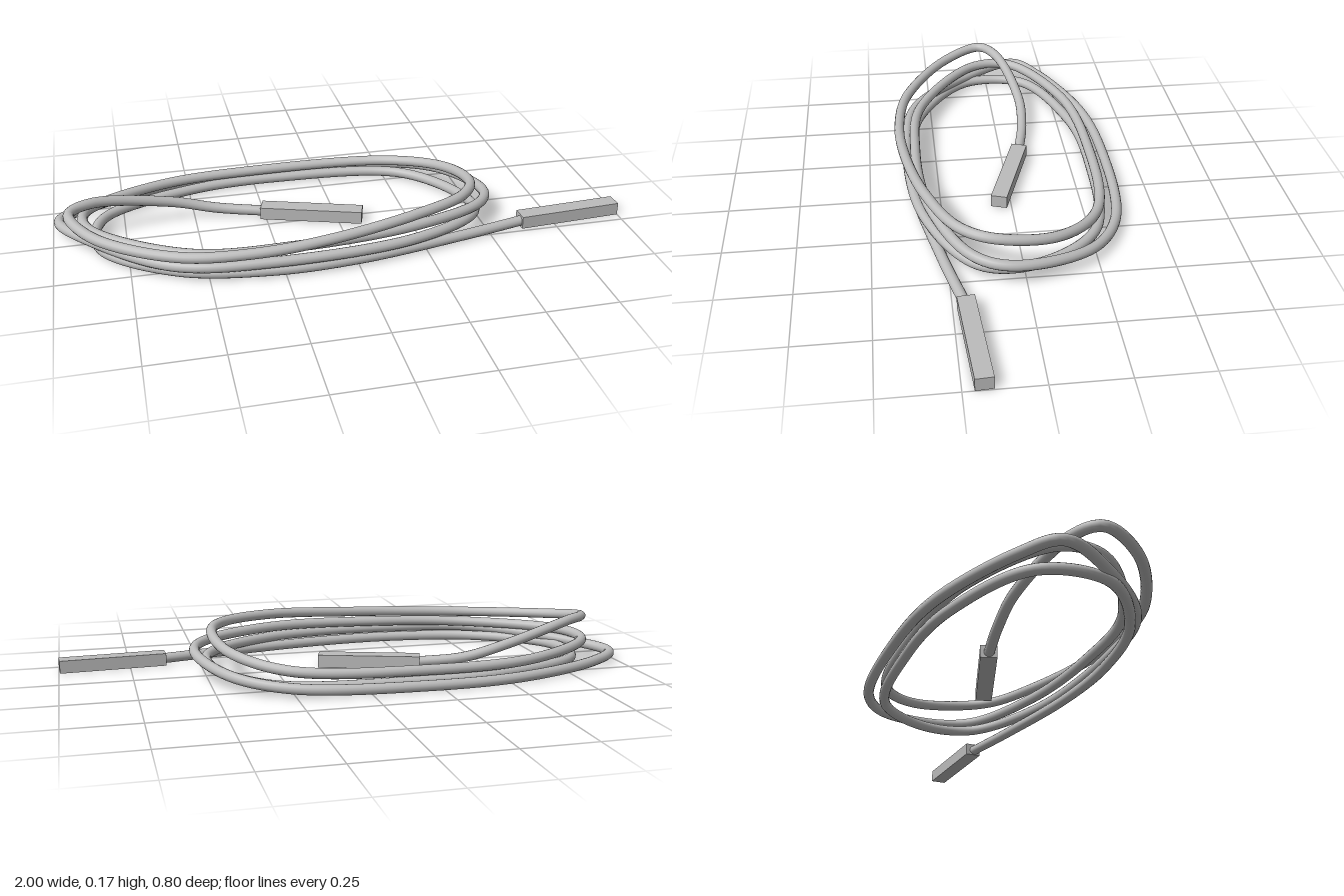
import * as THREE from 'three';

export function createModel() {
  const group = new THREE.Group();
  const grey = new THREE.MeshStandardMaterial({ color: 0xbcbcbc });
  grey.name = 'light grey';

  // Guide points of each lap as x, y, z: front, left end, back, right end
  const firstLap = [
    [0.64, 0.02, 0.208], [0.38, 0.02, 0.268], [0, 0.02, 0.337], [-0.3, 0.02, 0.345], [-0.6, 0.02, 0.28],
    [-0.84, 0.02, 0.08], [-0.82, 0.02, -0.14], [-0.5, 0.02, -0.29], [-0.15, 0.02, -0.322], [0.3, 0.02, -0.26],
    [0.47, 0.028, -0.03],
  ];
  const secondLap = [
    [0.47, 0.043, 0.15], [0.2, 0.056, 0.312], [-0.3, 0.056, 0.355], [-0.6, 0.052, 0.305], [-0.86, 0.042, 0.07],
    [-0.977, 0.032, -0.13], [-0.88, 0.024, -0.22], [-0.55, 0.02, -0.352], [-0.2, 0.02, -0.384],
    [0.25, 0.028, -0.342], [0.44, 0.048, -0.215], [0.533, 0.078, 0.05],
  ];
  const thirdLap = [
    [0.48, 0.088, 0.17], [0.2, 0.098, 0.295], [-0.2, 0.09, 0.327], [-0.55, 0.08, 0.285], [-0.87, 0.08, 0.05],
    [-0.88, 0.075, -0.1], [-0.6, 0.06, -0.28], [-0.2, 0.058, -0.324], [0.25, 0.07, -0.275], [0.43, 0.105, -0.11],
    [0.465, 0.14, 0.1],
  ];
  const lastLap = [
    [0.4, 0.147, 0.21], [0.2, 0.145, 0.305], [-0.1, 0.125, 0.367], [-0.35, 0.112, 0.38], [-0.6, 0.106, 0.338],
    [-0.86, 0.118, 0.175], [-0.935, 0.137, 0.025], [-0.85, 0.136, -0.042], [-0.58, 0.075, -0.106],
    [-0.42, 0.035, -0.1], [-0.25, 0.02, -0.066],
  ];

  // One continuous cable through all laps
  const points = [...firstLap, ...secondLap, ...thirdLap, ...lastLap].map(p => new THREE.Vector3(...p));
  const path = new THREE.CatmullRomCurve3(points, false, 'centripetal');
  const cable = new THREE.Mesh(new THREE.TubeGeometry(path, 600, 0.0185, 14, false), grey);
  cable.name = 'cable';
  group.add(cable);

  // Square plug lying on the ground between two points in x, z
  const addPlug = (name, [x1, z1], [x2, z2]) => {
    const length = Math.hypot(x2 - x1, z2 - z1);
    const plug = new THREE.Mesh(new THREE.BoxGeometry(length, 0.045, 0.058), grey);
    plug.position.set((x1 + x2) / 2, 0.0225, (z1 + z2) / 2);
    plug.rotation.y = -Math.atan2(z2 - z1, x2 - x1);
    plug.name = name;
    group.add(plug);
  };
  addPlug('outerPlug', [0.623, 0.207], [0.998, 0.184]);
  addPlug('innerPlug', [-0.262, -0.07], [0.085, 0.045]);

  return group;
}
